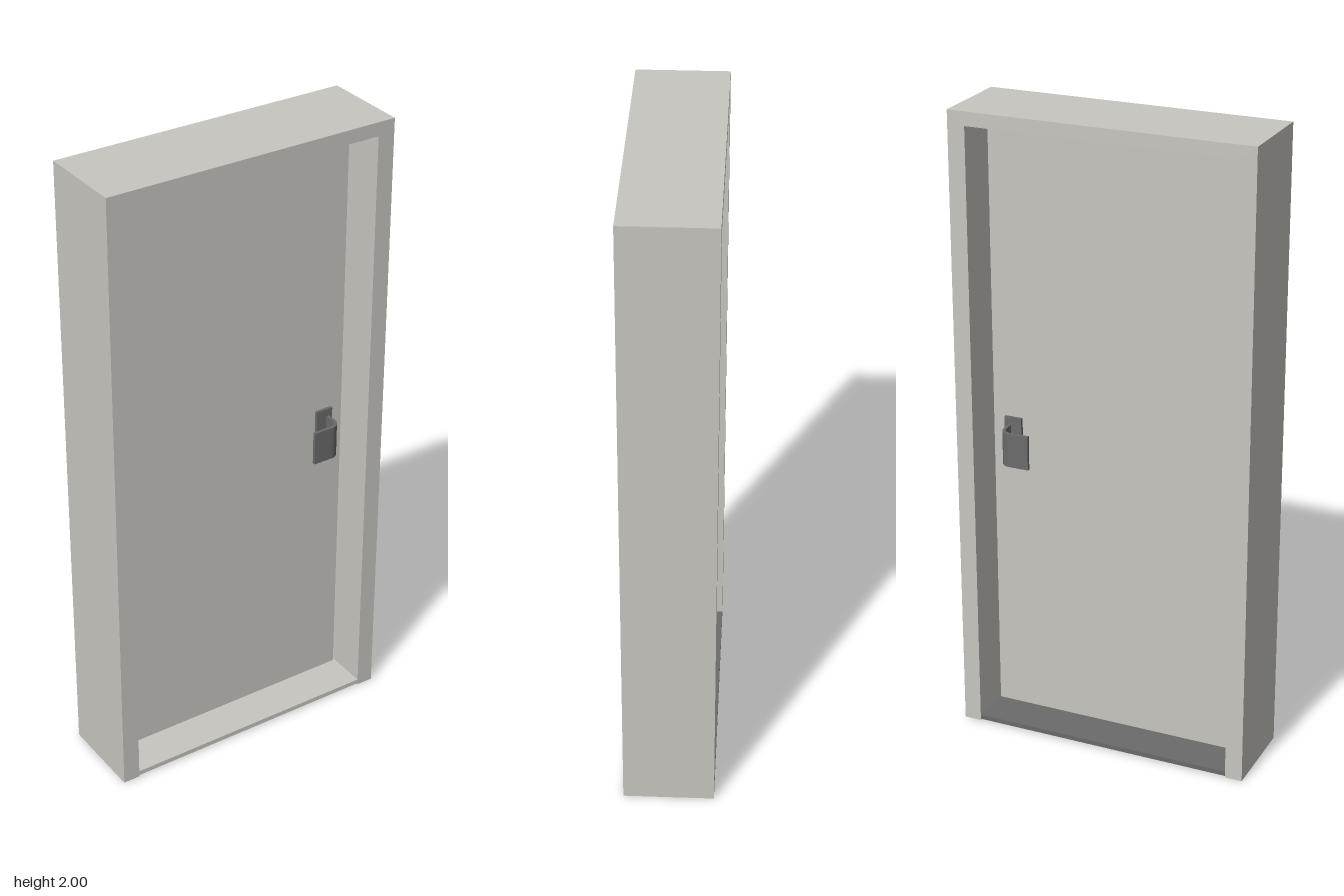
import * as THREE from 'three';

const W = 0.475, H = 2, D = 0.28;        // frame half width, height, depth
const IN = 0.42, TOP = 1.957;            // opening half width and height

export function createModel() {
  const paint = new THREE.MeshStandardMaterial({ color: 0xc8c6c0 });
  paint.name = 'warm grey paint';
  const metal = new THREE.MeshStandardMaterial({ color: 0x6b6b6b });
  metal.name = 'dark metal';

  const model = new THREE.Group();
  model.name = 'door';

  const box = (name, mat, x0, x1, y0, y1, z0, z1, parent = model) => {
    const mesh = new THREE.Mesh(new THREE.BoxGeometry(x1 - x0, y1 - y0, z1 - z0), mat);
    mesh.position.set((x0 + x1) / 2, (y0 + y1) / 2, (z0 + z1) / 2);
    mesh.name = name;
    parent.add(mesh);
    return mesh;
  };

  // Door frame: two jambs and a head in one piece
  const outline = new THREE.Shape([
    [-W, 0], [-IN, 0], [-IN, TOP], [IN, TOP], [IN, 0], [W, 0], [W, H], [-W, H],
  ].map(([x, y]) => new THREE.Vector2(x, y)));
  const frame = new THREE.Mesh(
    new THREE.ExtrudeGeometry(outline, { depth: D, bevelEnabled: false }), paint);
  frame.position.z = -D / 2;
  frame.name = 'doorFrame';
  model.add(frame);

  // Door leaf with a narrow gap to the frame
  box('doorLeaf', paint, -0.412, 0.412, 0.022, 1.953, -0.012, 0.012);

  // Threshold: painted on the front half, metal on the back half
  box('frontThreshold', paint, -IN, IN, 0.005, 0.02, 0, D / 2);
  box('backThreshold', metal, -IN, IN, 0.005, 0.02, -D / 2, 0);

  // Paddle handle profile, seen from above: a stem bending into a flat paddle
  const reach = 0.088, t = 0.01, r = 0.035, right = 0.36, left = 0.262;
  const profile = new THREE.Shape();
  profile.moveTo(right, 0.012);
  profile.lineTo(right, reach - r);
  profile.absarc(right - r, reach - r, r, 0, Math.PI / 2, false);
  profile.lineTo(left, reach);
  profile.lineTo(left, reach - t);
  profile.lineTo(right - r, reach - t);
  profile.absarc(right - r, reach - r, r - t, Math.PI / 2, 0, true);
  profile.lineTo(right - t, 0.012);
  const paddleGeometry = new THREE.ExtrudeGeometry(profile,
    { depth: 0.11, bevelEnabled: false, curveSegments: 10 });
  paddleGeometry.rotateX(Math.PI / 2);   // profile depth becomes z, extrusion runs down

  // One handle on each side; the back one is flipped upside down about x,
  // which keeps it at the same x and the same height
  for (const side of [1, -1]) {
    const handle = new THREE.Group();
    handle.name = side > 0 ? 'frontHandle' : 'backHandle';
    handle.position.y = 0.94;
    if (side < 0) handle.rotation.x = Math.PI;
    box('backplate', metal, 0.315, 0.372, -0.08, 0.08, 0.011, 0.022, handle);
    const paddle = new THREE.Mesh(paddleGeometry, metal);
    paddle.position.y = 0.055;
    paddle.name = 'paddle';
    handle.add(paddle);
    model.add(handle);
  }
  return model;
}
